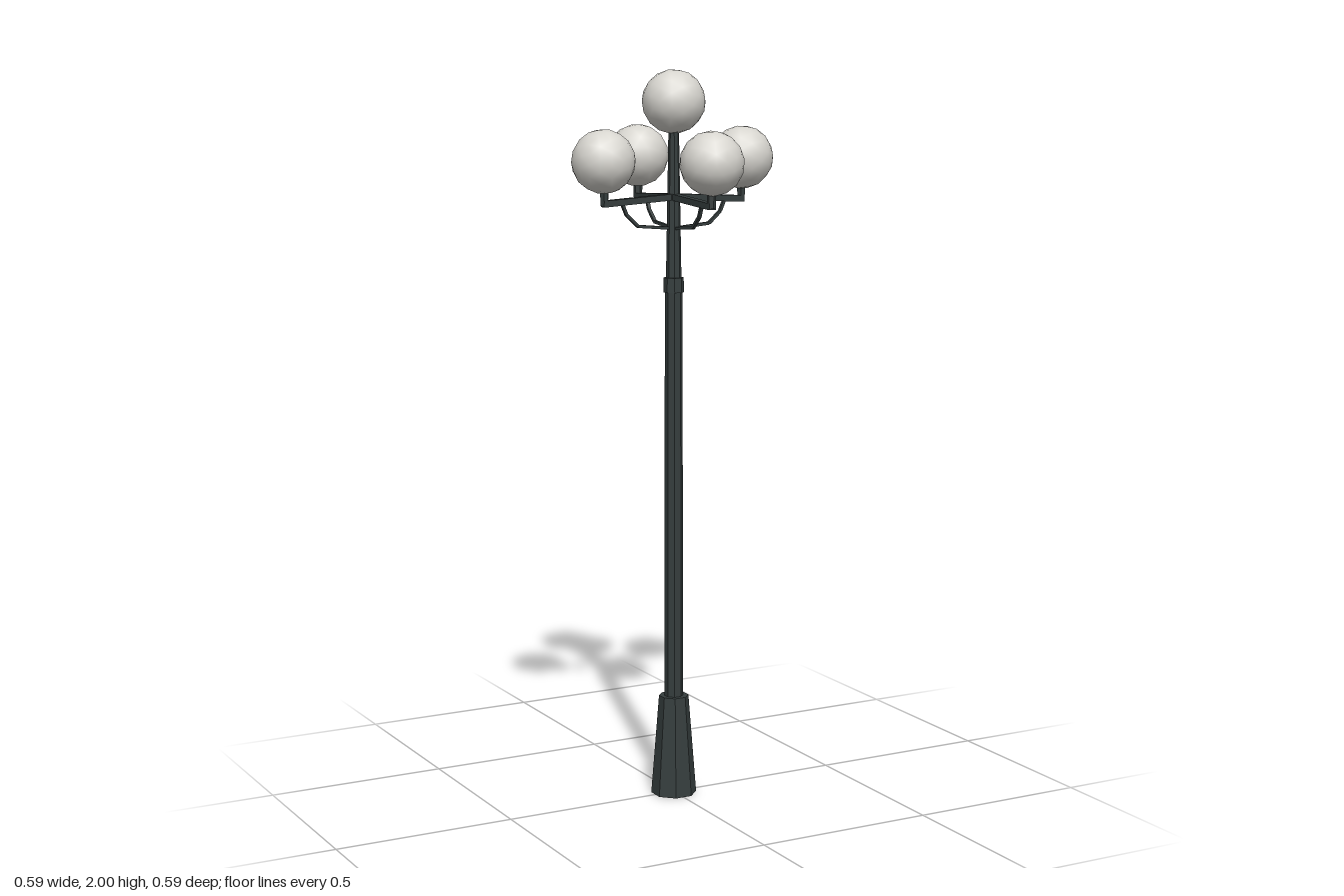
import * as THREE from 'three';

export function createModel() {
  const model = new THREE.Group();
  model.name = 'streetLamp';
  const metal = new THREE.MeshStandardMaterial({ color: 0x353d3d, flatShading: true });
  metal.name = 'dark metal';
  const glass = new THREE.MeshStandardMaterial({ color: 0xd8d6d0 });
  glass.name = 'frosted glass';

  const add = (name, geometry, material, parent = model) => {
    const mesh = new THREE.Mesh(geometry, material);
    mesh.name = name;
    parent.add(mesh);
    return mesh;
  };
  // Upright tapered tube between two heights
  const column = (name, y0, y1, r0, r1, parent = model, x = 0, sides = 8) => {
    const mesh = add(name, new THREE.CylinderGeometry(r1, r0, y1 - y0, sides), metal, parent);
    mesh.position.set(x, (y0 + y1) / 2, 0);
    mesh.rotation.y = Math.PI / sides;
    return mesh;
  };
  // Bar between two points in the xy plane
  const bar = (name, [x0, y0], [x1, y1], height, width, parent) => {
    const length = Math.hypot(x1 - x0, y1 - y0);
    const mesh = add(name, new THREE.BoxGeometry(length, height, width), metal, parent);
    mesh.position.set((x0 + x1) / 2, (y0 + y1) / 2, 0);
    mesh.rotation.z = Math.atan2(y1 - y0, x1 - x0);
    return mesh;
  };
  const globe = (x, y, parent) => {
    const mesh = add('globe', new THREE.IcosahedronGeometry(0.0855, 2), glass, parent);
    mesh.position.set(x, y, 0);
    mesh.rotation.set(0.3, 0.2, 0.1);
  };

  // Post, from the ground up
  column('base', 0, 0.28, 0.063, 0.041);
  column('pole', 0.28, 1.42, 0.026, 0.024);
  column('collar', 1.405, 1.445, 0.028, 0.027);
  column('upperPole', 1.44, 1.85, 0.021, 0.014);
  globe(0, 1.915, model);

  // Four arms, each with a holder, globe and bent brace
  for (let i = 0; i < 4; i++) {
    const arm = new THREE.Group();
    arm.name = 'lampArm';
    arm.rotation.y = i * Math.PI / 2;
    model.add(arm);
    bar('armBar', [0, 1.662], [0.213, 1.65], 0.017, 0.021, arm);
    column('globeHolder', 1.645, 1.695, 0.011, 0.013, arm, 0.208, 6);
    globe(0.21, 1.762, arm);
    const path = [[0.155, 1.648], [0.142, 1.618], [0.108, 1.587], [0.01, 1.578]];
    for (let k = 0; k < 3; k++) bar('brace', path[k], path[k + 1], 0.008, 0.009, arm);
  }
  return model;
}
